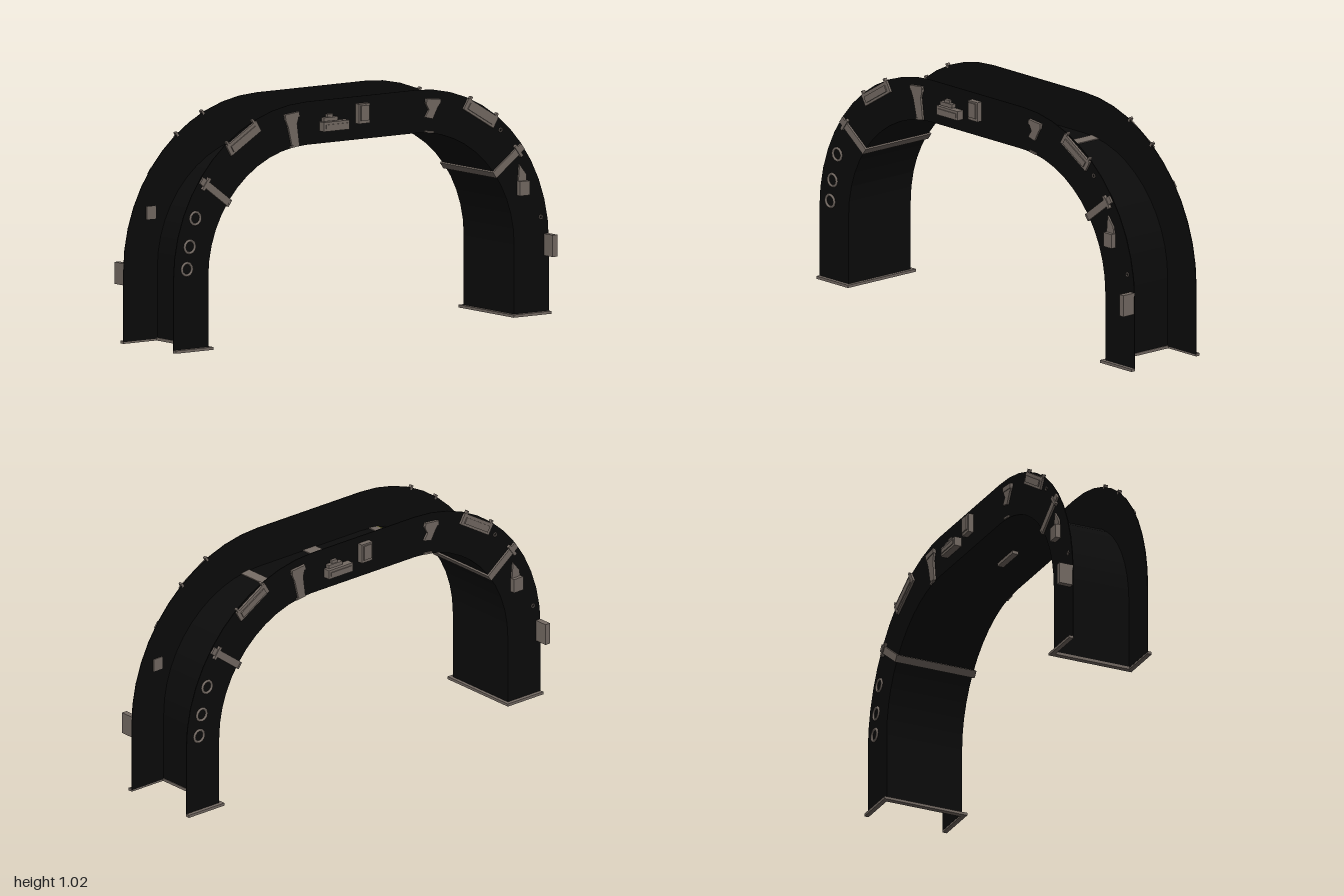
import * as THREE from 'three';

const mat = (name, color, side = THREE.FrontSide) => {
  const m = new THREE.MeshStandardMaterial({ color, side });
  m.name = name;
  return m;
};

export function createModel() {
  const black = mat('black shell', 0x0b0b0b);
  const grey = mat('warm grey metal', 0x756b64);
  const yellow = mat('dull yellow edge', 0x6a6a14);
  const CX = 0.29, CY = 0.31, RI = 0.525, RO = 0.71, Z = 0.178;
  const model = new THREE.Group();
  model.name = 'archway';

  const add = (parent, name, geo, m, x = 0, y = 0, z = 0, rz = 0) => {
    const mesh = new THREE.Mesh(geo, m);
    mesh.name = name;
    mesh.position.set(x, y, z);
    mesh.rotation.z = rz;
    parent.add(mesh);
    return mesh;
  };
  const box = (parent, name, w, h, d, x, y, z, rz = 0, m = grey) =>
    add(parent, name, new THREE.BoxGeometry(w, h, d), m, x, y, z, rz);
  const slab = (parent, name, pts, z, depth, m = grey) =>
    add(parent, name, new THREE.ExtrudeGeometry(
      new THREE.Shape(pts.map(p => new THREE.Vector2(...p))),
      { depth, bevelEnabled: false }), m, 0, 0, z);

  // arch line at one radius, from the left foot to the right foot
  const archLine = (r, n) => {
    const right = [];
    for (let i = 0; i <= n; i++) {
      const a = (Math.PI / 2) * (1 - i / n);
      right.push([CX + r * Math.cos(a), CY + r * Math.sin(a)]);
    }
    right.push([CX + r, 0.008]);
    return [...right.map(([x, y]) => [-x, y]).reverse(), ...right];
  };
  const band = (r0, r1, n) => [...archLine(r1, n), ...archLine(r0, n).reverse()];

  // channel: inner web and two side flanges, open outwards
  slab(model, 'innerWeb', band(RI, RI + 0.006, 12), -0.175, 0.35, black);
  slab(model, 'frontFlange', band(RI, RO, 12), Z - 0.004, 0.004, black);
  slab(model, 'backFlange', band(RI, RO, 12), -Z, 0.004, black);

  // U-shaped foot trims
  for (const s of [-1, 1]) {
    box(model, 'footWebTrim', 0.024, 0.012, 0.36, s * 0.812, 0.006, 0);
    for (const t of [-1, 1])
      box(model, 'footFlangeTrim', 0.2, 0.012, 0.02, s * 0.9, 0.006, t * 0.185);
  }

  // straps across the web and the bar through its middle
  for (const x of [-0.36, 0.36])
    box(model, 'webStrap', 0.045, 0.008, 0.37, x, 0.835, 0, -Math.sign(x) * 0.13);
  box(model, 'yellowEdge', 0.008, 0.008, 0.348, -0.387, 0.831, 0, 0.15, yellow);
  box(model, 'centreStrap', 0.07, 0.006, 0.352, 0, 0.842, 0);
  box(model, 'centreBar', 0.145, 0.034, 0.028, 0, 0.838, 0);

  // fittings of one side, repeated on the back by a half turn
  const side = new THREE.Group();
  side.name = 'frontFittings';

  for (const [x, y] of [[-0.885, 0.57], [-0.915, 0.45], [-0.93, 0.355]])
    add(side, 'ring', new THREE.TorusGeometry(0.027, 0.006, 6, 12), grey, x, y, Z + 0.002);

  for (const s of [-1, 1]) {
    // radial strap with its clamp and the part under the web
    const a = 0.64, c = Math.cos(a), n = Math.sin(a);
    const at = (r) => [s * (CX + r * c), CY + r * n];
    const rot = s * a;
    box(side, 'radialStrap', 0.18, 0.032, 0.01, ...at(0.615), Z + 0.004, rot);
    box(side, 'strapHead', 0.014, 0.06, 0.014, ...at(0.675), Z + 0.006, rot);
    box(side, 'strapUnderWeb', 0.008, 0.032, 0.19, ...at(RI - 0.004), 0.093, rot);
    // long lamp with end pins
    const lamp = new THREE.Group();
    lamp.name = 'sideLamp';
    lamp.position.set(s * 0.632, 0.892, Z);
    lamp.rotation.z = -s * 0.54;
    box(lamp, 'lampPlate', 0.185, 0.052, 0.012, 0, 0, 0.004);
    box(lamp, 'lampFace', 0.15, 0.028, 0.006, 0, -0.002, 0.012);
    for (const e of [-1, 1])
      box(lamp, 'lampPin', 0.01, 0.02, 0.016, e * 0.08, 0.03, 0.002);
    side.add(lamp);
  }

  // hanging brackets
  slab(side, 'longBracket', [[-0.415, 0.965], [-0.395, 0.92], [-0.375, 0.84],
    [-0.335, 0.835], [-0.348, 0.93], [-0.335, 0.975]], Z, 0.009);
  box(side, 'longBracketHead', 0.075, 0.022, 0.014, -0.375, 0.968, Z + 0.006, 0.1);
  slab(side, 'shortBracket', [[0.335, 0.965], [0.355, 0.93], [0.335, 0.9],
    [0.375, 0.89], [0.4, 0.935], [0.415, 0.955]], Z, 0.009);
  box(side, 'shortBracketHead', 0.075, 0.022, 0.014, 0.377, 0.965, Z + 0.006, -0.1);

  // stepped block beside the centre
  box(side, 'block', 0.135, 0.04, 0.032, -0.155, 0.908, Z + 0.016);
  box(side, 'blockFace', 0.115, 0.018, 0.006, -0.155, 0.908, Z + 0.033);
  box(side, 'blockStep', 0.075, 0.016, 0.02, -0.175, 0.938, Z + 0.01);
  box(side, 'blockKnob', 0.03, 0.014, 0.014, -0.175, 0.952, Z + 0.007);

  // centre box
  box(side, 'centreBox', 0.06, 0.085, 0.024, 0, 0.947, Z + 0.012);
  box(side, 'centreBoxFace', 0.044, 0.065, 0.008, 0, 0.95, Z + 0.026);

  // hung box with flap and its inner plate
  box(side, 'hungBox', 0.052, 0.062, 0.024, 0.855, 0.552, Z + 0.012);
  slab(side, 'hungBoxFlap', [[0.832, 0.583], [0.876, 0.583], [0.874, 0.61],
    [0.838, 0.655]], Z, 0.008);
  box(side, 'innerPlate', 0.05, 0.055, 0.004, 0.855, 0.552, Z - 0.006);

  // small studs and the outer handle
  for (const [x, y] of [[0.742, 0.81], [0.956, 0.418]])
    add(side, 'stud', new THREE.TorusGeometry(0.008, 0.003, 5, 8), grey, x, y, Z + 0.001);
  box(side, 'handle', 0.025, 0.094, 0.064, 0.986, 0.298, Z + 0.03);

  const back = side.clone();
  back.name = 'backFittings';
  back.rotation.y = Math.PI;
  model.add(side, back);
  return model;
}
